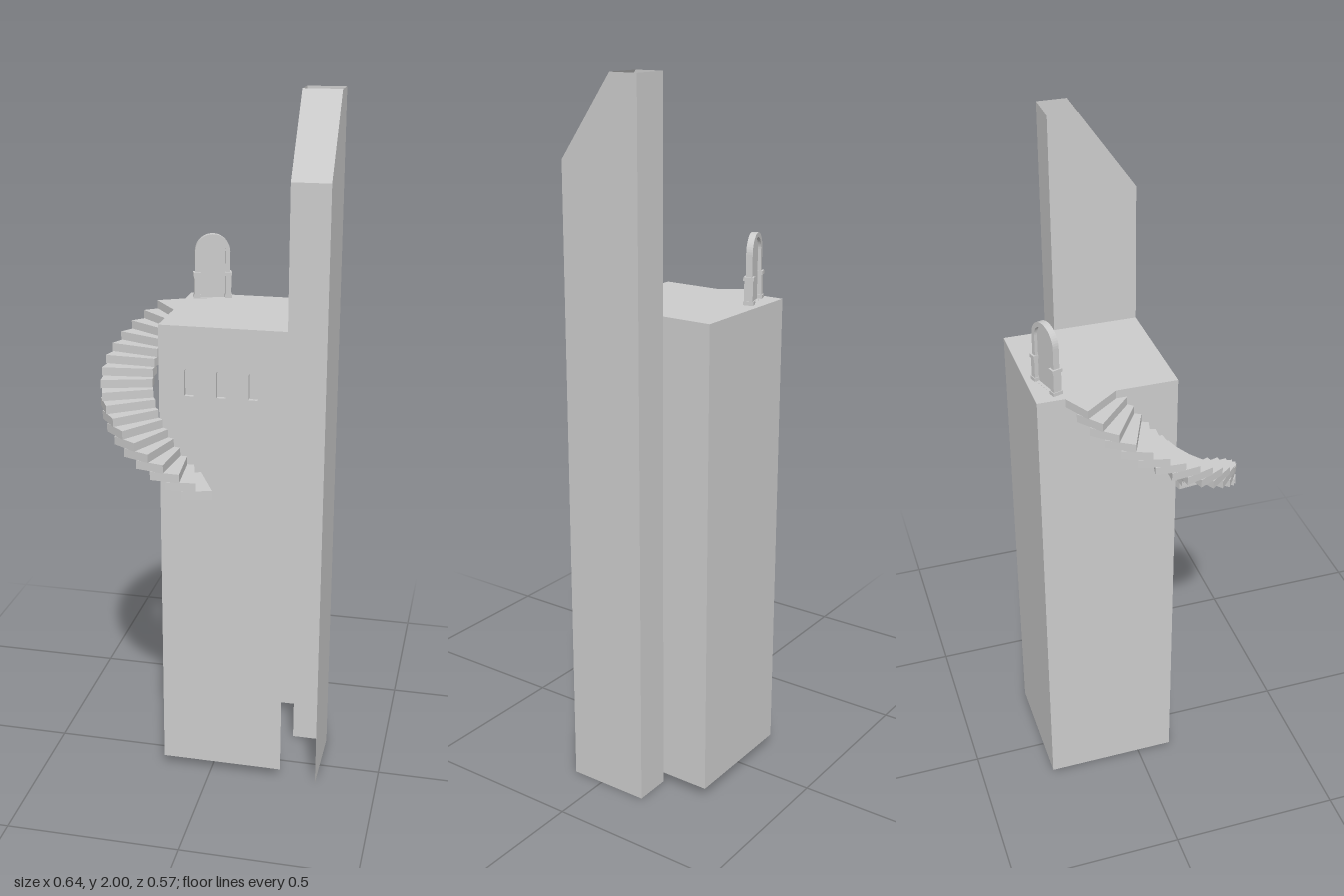
import * as THREE from 'three';

const material = new THREE.MeshStandardMaterial({
  color: 0xcccccc, side: THREE.DoubleSide, flatShading: true,
});

function addMesh(parent, name, geometry) {
  const mesh = new THREE.Mesh(geometry, material);
  mesh.name = name;
  parent.add(mesh);
  return mesh;
}

// Thin convex panel from its corners
function panel(parent, name, corners) {
  const positions = [];
  for (let i = 1; i < corners.length - 1; i++) {
    positions.push(...corners[0], ...corners[i], ...corners[i + 1]);
  }
  const geometry = new THREE.BufferGeometry();
  geometry.setAttribute('position', new THREE.Float32BufferAttribute(positions, 3));
  geometry.computeVertexNormals();
  return addMesh(parent, name, geometry);
}

// Round-headed outline standing on y = bottom
function archOutline(path, x, bottom, top, halfWidth) {
  path.moveTo(x - halfWidth, bottom);
  path.lineTo(x + halfWidth, bottom);
  path.lineTo(x + halfWidth, top - halfWidth);
  path.absarc(x, top - halfWidth, halfWidth, 0, Math.PI, false);
  path.lineTo(x - halfWidth, bottom);
  return path;
}

const X0 = -0.145, X1 = 0.213, X2 = 0.32;   // tower left, shared side, shaft side
const BACK = -0.288, MID = -0.143, FRONT = 0.096;
const BASE = 0.03, ROOF = 1.385;

function createTower() {
  const tower = new THREE.Group();
  tower.name = 'tower';

  // Front wall pierced by three arched windows
  const wall = new THREE.Shape([
    new THREE.Vector2(X0, BASE), new THREE.Vector2(X1, BASE),
    new THREE.Vector2(X1, ROOF), new THREE.Vector2(X0, ROOF),
  ]);
  const windows = [-0.06, 0.03, 0.12];
  for (const x of windows) {
    wall.holes.push(archOutline(new THREE.Path(), x, 1.187, 1.267, 0.013));
  }
  addMesh(tower, 'frontWall', new THREE.ShapeGeometry(wall, 8)).position.z = FRONT;

  // Shallow window recesses: an extrusion that the wall opening exposes
  for (const x of windows) {
    const outline = archOutline(new THREE.Shape(), x, 1.187, 1.267, 0.013);
    addMesh(tower, 'windowPane', new THREE.ShapeGeometry(outline, 8)).position.z = FRONT - 0.012;
    const points = outline.getPoints(8);
    const reveal = new THREE.Group();
    reveal.name = 'windowReveal';
    for (let i = 0; i < points.length - 1; i++) {
      const a = points[i], b = points[i + 1];
      if (a.distanceTo(b) < 1e-6) continue;
      panel(reveal, 'revealFacet', [
        [a.x, a.y, FRONT], [b.x, b.y, FRONT],
        [b.x, b.y, FRONT - 0.012], [a.x, a.y, FRONT - 0.012],
      ]);
    }
    tower.add(reveal);
  }

  // Remaining walls and roof; the underside and the side facing the shaft are open
  panel(tower, 'leftWall', [[X0, BASE, BACK], [X0, BASE, FRONT], [X0, ROOF, FRONT], [X0, ROOF, BACK]]);
  panel(tower, 'backWall', [[X1, BASE, BACK], [X0, BASE, BACK], [X0, ROOF, BACK], [X1, ROOF, BACK]]);
  panel(tower, 'sideWall', [[X1, BASE, MID], [X1, BASE, BACK], [X1, ROOF, BACK], [X1, ROOF, MID]]);
  panel(tower, 'roof', [[X0, ROOF, FRONT], [X1, ROOF, FRONT], [X1, ROOF, BACK], [X0, ROOF, BACK]]);
  return tower;
}

// Tall hollow shaft with a sloped head, open at top and bottom
function createShaft() {
  const shaft = new THREE.Group();
  shaft.name = 'shaft';
  const top = 2, eave = 1.78, ridge = -0.06, door = 0.96;
  panel(shaft, 'outerWall', [[X2, 0, FRONT], [X2, 0, MID], [X2, top, MID], [X2, top, ridge], [X2, eave, FRONT]]);
  panel(shaft, 'innerWall', [[X1, ROOF, MID], [X1, ROOF, FRONT], [X1, eave, FRONT], [X1, top, ridge], [X1, top, MID]]);
  panel(shaft, 'backWall', [[X2, 0, MID], [X1, 0, MID], [X1, top, MID], [X2, top, MID]]);
  panel(shaft, 'frontWall', [[X1, door, FRONT], [X2, door, FRONT], [X2, eave, FRONT], [X1, eave, FRONT]]);
  panel(shaft, 'slopedHead', [[X1, eave, FRONT], [X2, eave, FRONT], [X2, top, ridge], [X1, top, ridge]]);
  return shaft;
}

// Overlapping wedge steps winding up to the roof
function createStairs() {
  const stairs = new THREE.Group();
  stairs.name = 'spiralStairs';
  stairs.position.set(-0.065, 0, 0.031);
  const count = 18, rise = 0.0238, thickness = 0.0238;
  const span = THREE.MathUtils.degToRad(18.5);
  const turn = THREE.MathUtils.degToRad(168 / (count - 1));
  const inner = 0.112, outer = 0.256;
  const corner = (r, a) => new THREE.Vector2(r * Math.sin(a), r * Math.cos(a));
  const tread = new THREE.Shape([
    corner(inner, 0), corner(outer, 0), corner(outer, -span), corner(inner, -span),
  ]);
  const geometry = new THREE.ExtrudeGeometry(tread, { depth: thickness, bevelEnabled: false });
  geometry.rotateX(Math.PI / 2);
  for (let i = 0; i < count; i++) {
    const step = addMesh(stairs, 'step', geometry);
    step.position.y = ROOF - (count - 1 - i) * rise;
    step.rotation.y = THREE.MathUtils.degToRad(25) - i * turn;
  }
  return stairs;
}

// Arched doorway standing on the roof
function createDoorway() {
  const doorway = new THREE.Group();
  doorway.name = 'roofDoorway';
  doorway.position.set(-0.07, ROOF, -0.241);
  doorway.rotation.y = 0.3;

  const frame = archOutline(new THREE.Shape(), 0, 0, 0.188, 0.051);
  frame.holes.push(archOutline(new THREE.Path(), 0, 0.0005, 0.175, 0.038));
  const frameGeometry = new THREE.ExtrudeGeometry(frame, { depth: 0.018, bevelEnabled: false, curveSegments: 12 });
  addMesh(doorway, 'archFrame', frameGeometry.translate(0, 0, -0.009));

  const leaf = archOutline(new THREE.Shape(), 0, 0, 0.176, 0.039);
  addMesh(doorway, 'doorPanel', new THREE.ShapeGeometry(leaf, 12));

  for (const side of [-1, 1]) {
    const post = addMesh(doorway, 'post', new THREE.BoxGeometry(0.016, 0.07, 0.024));
    post.position.set(side * 0.046, 0.035, 0);
    for (const y of [0.006, 0.072]) {
      const block = addMesh(doorway, 'postBlock', new THREE.BoxGeometry(0.02, 0.01, 0.029));
      block.position.set(side * 0.046, y, 0);
    }
  }
  return doorway;
}

export function createModel() {
  const model = new THREE.Group();
  model.name = 'stairTower';
  model.add(createTower(), createShaft(), createStairs(), createDoorway());
  return model;
}
